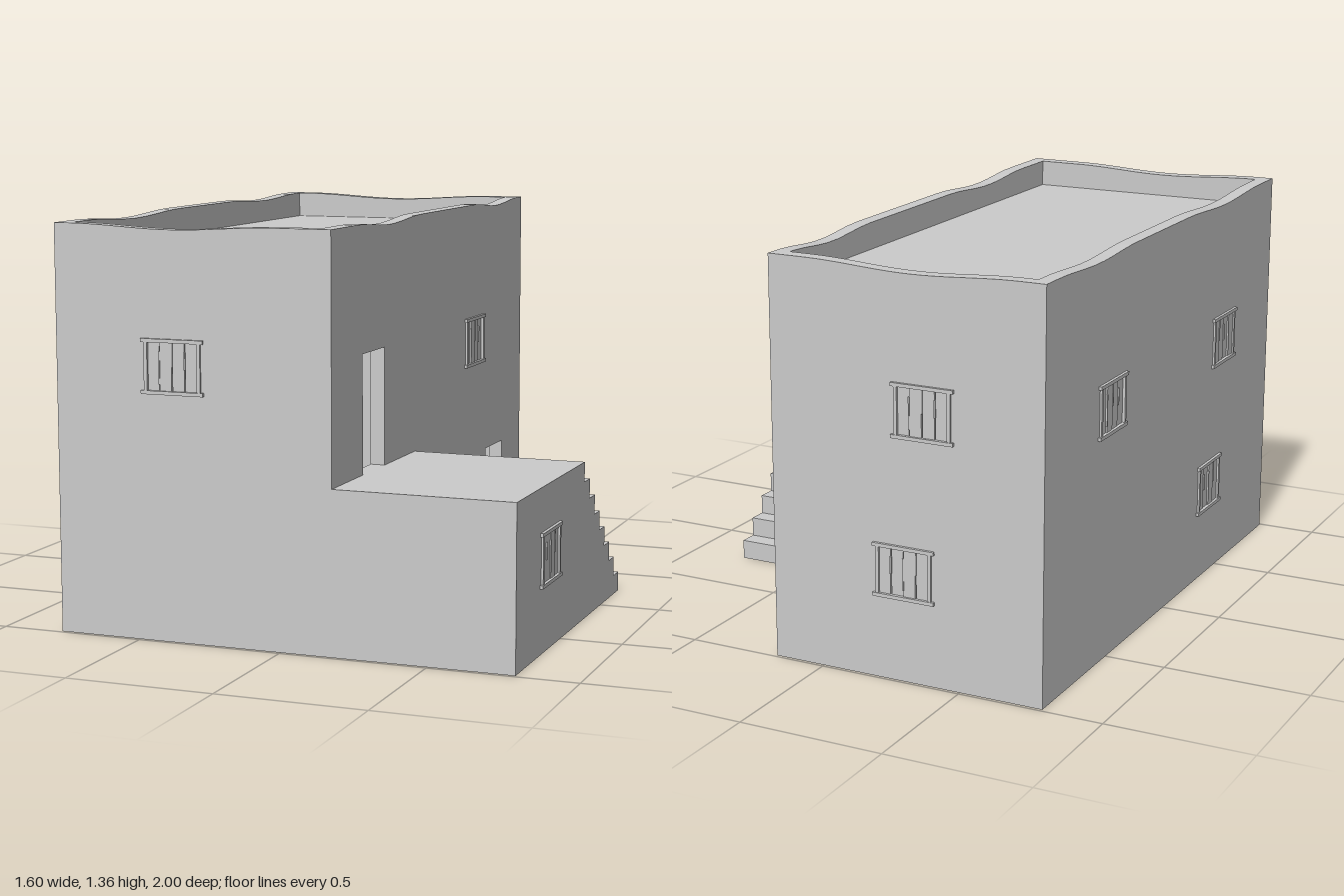
import * as THREE from 'three';

const mat = new THREE.MeshStandardMaterial({ color: 0xcccccc, flatShading: true });
const T = 0.05;          // wall thickness
const H = 1.362;         // wall height
const WIN = { w: 0.18, h: 0.165 };

function box(name, parent, x0, x1, y0, y1, z0, z1) {
  const m = new THREE.Mesh(new THREE.BoxGeometry(x1 - x0, y1 - y0, z1 - z0), mat);
  m.position.set((x0 + x1) / 2, (y0 + y1) / 2, (z0 + z1) / 2);
  m.name = name;
  parent.add(m);
  return m;
}

// Boarded window centred on (u, y) of a wall whose outer face is local z = 0
function boardedWindow(u, y, variant, back = -T) {
  const g = new THREE.Group();
  g.name = 'window';
  g.position.set(u, y, 0);
  const { w, h } = WIN;
  for (const s of [-1, 1]) {
    const by = s * (h / 2 + 0.002), bx = s * (w / 2 + 0.004);
    box('frameRail', g, -0.11, 0.11, by - 0.006, by + 0.006, -0.02, 0.01);
    box('framePost', g, bx - 0.006, bx + 0.006, -h / 2, h / 2, -0.02, 0.007);
  }
  const n = 4, bw = w / n;
  for (let i = 0; i < n; i++) {
    const x = -w / 2 + i * bw;
    const k = (i * 2 + variant) % 3;
    box('board', g, x, x + bw - 0.003, -h / 2, h / 2, back + 0.012, -0.002 + k * 0.002);
    // short raised slat along the joint
    if (i > 0) {
      const top = k === 1 ? h / 2 : h * 0.3;
      box('slat', g, x - 0.004, x + 0.001, top - h * (0.35 + 0.15 * k), top, -0.01, 0.004);
    }
  }
  return g;
}

function rectHole(u0, u1, y0, y1) {
  const p = new THREE.Path();
  p.moveTo(u0, y0); p.lineTo(u0, y1); p.lineTo(u1, y1); p.lineTo(u1, y0);
  p.closePath();
  return p;
}

// Wall panel with a worn, uneven top edge: dips are [centre, half width, depth]
function wall(name, width, dips, windows, doors) {
  const g = new THREE.Group();
  g.name = name;
  const s = new THREE.Shape();
  s.moveTo(-width / 2, 0);
  s.lineTo(width / 2, 0);
  const n = 28;
  for (let i = 0; i <= n; i++) {
    const u = width / 2 - (i / n) * width;
    let y = H;
    for (const [c, r, d] of dips) {
      const t = Math.abs(u - c) / r;
      if (t < 1) y -= d * 0.5 * (1 + Math.cos(Math.PI * t));
    }
    s.lineTo(u, y);
  }
  s.closePath();
  for (const [u, y] of windows) {
    s.holes.push(rectHole(u - WIN.w / 2, u + WIN.w / 2, y - WIN.h / 2, y + WIN.h / 2));
  }
  for (const [u, y0, y1] of doors) s.holes.push(rectHole(u - 0.1, u + 0.1, y0, y1));
  const geo = new THREE.ExtrudeGeometry(s, { depth: T, bevelEnabled: false });
  geo.translate(0, 0, -T);
  const m = new THREE.Mesh(geo, mat);
  m.name = name + 'Panel';
  g.add(m);
  windows.forEach(([u, y], i) => g.add(boardedWindow(u, y, i)));
  return g;
}

export function createModel() {
  const house = new THREE.Group();
  house.name = 'house';
  const x0 = -0.79, x1 = 0.18, zE = 0.99, cx = (x0 + x1) / 2;

  // Four walls of the hollow main block
  const inner = x1 - x0 - 2 * T;
  const front = wall('frontWall', inner, [[-0.07, 0.36, 0.014]], [[-0.065, 0.907]], []);
  front.position.set(cx, 0, zE);
  const back = wall('backWall', inner, [[0.02, 0.38, 0.016]], [[0.065, 0.907], [-0.005, 0.37]], []);
  back.position.set(cx, 0, -zE);
  back.rotation.y = Math.PI;
  const right = wall('rightWall', 2 * zE, [[-0.46, 0.3, 0.016], [0.68, 0.26, 0.016]],
    [[0.42, 0.858]], [[-0.62, 0.545, 0.942], [0.66, 0.03, 0.43]]);
  right.position.x = x1;
  right.rotation.y = Math.PI / 2;
  const left = wall('leftWall', 2 * zE, [[0.5, 0.35, 0.014], [-0.6, 0.3, 0.012]],
    [[-0.48, 0.858], [0.41, 0.335], [0.52, 0.858]], []);
  left.position.x = x0;
  left.rotation.y = -Math.PI / 2;
  house.add(front, back, right, left);

  // Ground floor and sunken flat roof
  box('floor', house, x0 + T, x1 - T, 0, 0.03, -zE + T, zE - T);
  box('roof', house, x0 + T, x1 - T, 1.22, 1.27, -zE + T, zE - T);

  // Side annex with a terrace on top
  const top = 0.545, ax = 0.79, az = 0.225;
  box('annex', house, x1, ax, 0, top, az, zE);
  const annexWindow = boardedWindow(-0.625, 0.308, 1, -0.02);
  const holder = new THREE.Group();
  holder.name = 'annexWindow';
  holder.position.x = ax;
  holder.rotation.y = Math.PI / 2;
  holder.add(annexWindow);
  house.add(holder);

  // Solid stairs as one stepped profile, running down towards the back
  const steps = 7, run = (az + 0.24) / steps, rise = top / (steps + 1);
  const p = new THREE.Shape();
  p.moveTo(-az, 0);
  p.lineTo(0.24, 0);
  for (let i = 0; i < steps; i++) {
    p.lineTo(0.24 - i * run, (i + 1) * rise);
    p.lineTo(0.24 - (i + 1) * run, (i + 1) * rise);
  }
  p.closePath();
  const stairs = new THREE.Mesh(
    new THREE.ExtrudeGeometry(p, { depth: ax - x1, bevelEnabled: false }), mat);
  stairs.name = 'stairs';
  stairs.rotation.y = Math.PI / 2;
  stairs.position.x = x1;
  house.add(stairs);

  return house;
}
